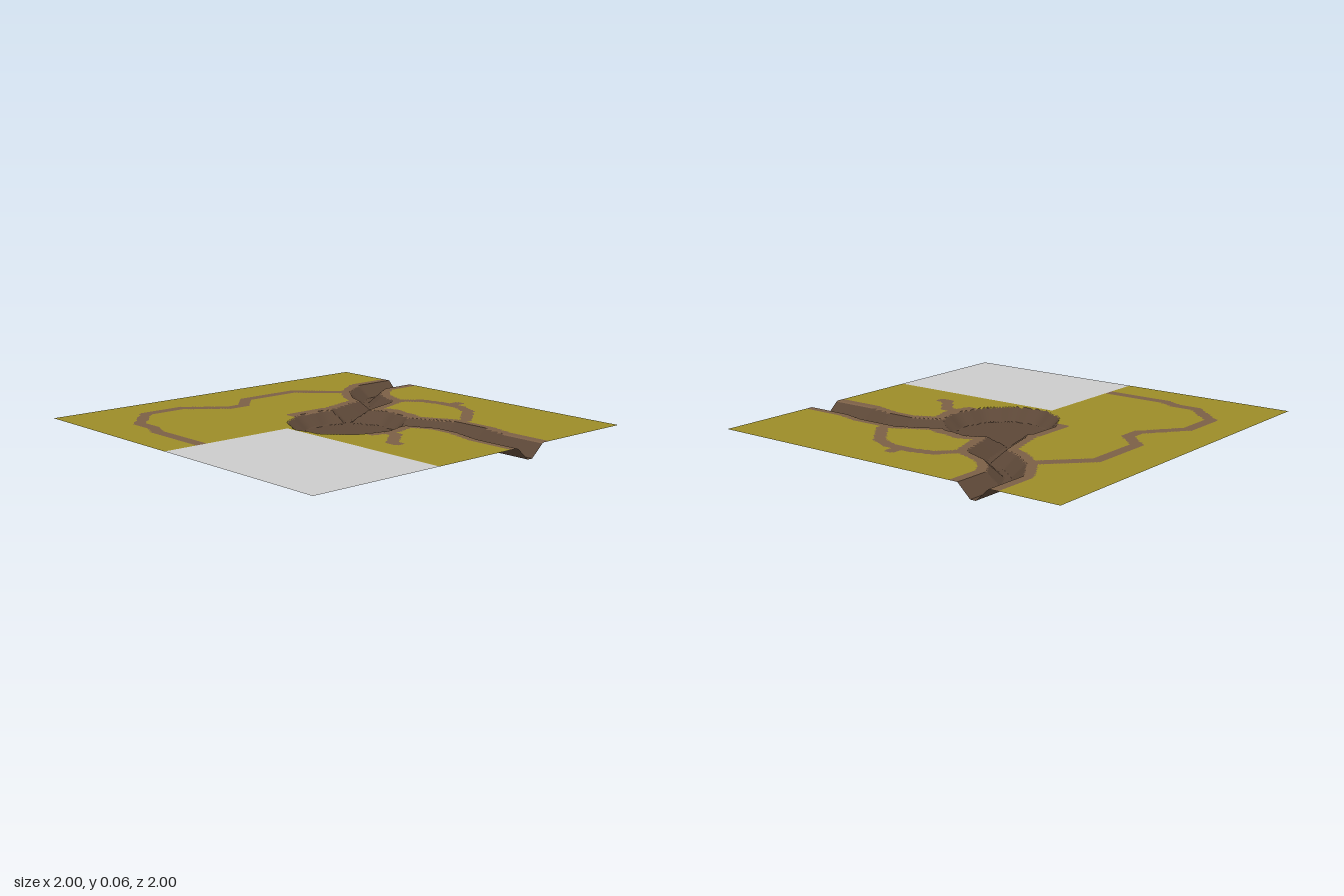
import * as THREE from 'three';

const H = 0.065;      // ground level above the channel floor
const N = 200;        // cells per side
const STEP = 2 / N;
const PLOT = { x: -0.03, z: 0.27 };

// Centre lines as [x, z] points
const NORTH_RIVER = [[-0.545, -1.1], [-0.545, -0.78], [-0.46, -0.65], [-0.36, -0.575], [-0.24, -0.53],
  [-0.2, -0.4], [-0.16, -0.25], [-0.05, -0.15]];
const EAST_RIVER = [[1.1, -0.335], [0.75, -0.335], [0.6, -0.37], [0.42, -0.37], [0.25, -0.28], [0.15, -0.2]];
const PATHS = [
  [[-0.52, -0.58], [-0.74, -0.36], [-0.74, -0.03], [-0.62, 0.08], [-0.62, 0.17], [-0.78, 0.37],
    [-0.78, 0.59], [-0.6, 0.75], [-0.48, 0.75], [-0.39, 0.79], [0, 0.79]],
  [[-0.16, -0.62], [-0.08, -0.71], [0.03, -0.74], [0.17, -0.74], [0.28, -0.69], [0.42, -0.52], [0.42, -0.45]],
  [[0.1, -0.74], [0.1, -0.8]],
  [[0.36, -0.03], [0.42, -0.03], [0.53, 0.1], [0.56, 0.1]],
];

// Shortest distance from a point to a polyline
function distanceTo(line, x, z) {
  let best = Infinity;
  for (let i = 0; i + 1 < line.length; i++) {
    const [ax, az] = line[i], [bx, bz] = line[i + 1];
    const dx = bx - ax, dz = bz - az;
    const t = THREE.MathUtils.clamp(((x - ax) * dx + (z - az) * dz) / (dx * dx + dz * dz), 0, 1);
    best = Math.min(best, Math.hypot(x - ax - t * dx, z - az - t * dz));
  }
  return best;
}

// 1 on the lake rim, with a slightly lobed outline
function lakeRadius(x, z) {
  const u = (x - 0.045) / 0.285, v = (z + 0.065) / 0.315;
  return Math.hypot(u, v) / (1 + 0.02 * Math.cos(11 * Math.atan2(v, u)));
}

// How far the ground is carved: 0 at ground level, 1 on the floor
function carve(x, z) {
  const north = (0.085 - distanceTo(NORTH_RIVER, x, z)) / 0.07;
  const east = (0.09 - distanceTo(EAST_RIVER, x, z)) / 0.075;
  const lake = (1 - lakeRadius(x, z)) / 0.22;
  return THREE.MathUtils.clamp(Math.max(north, east, lake), 0, 1);
}

// Which surface a ground cell belongs to
function surfaceAt(x, z) {
  if (carve(x, z) > 0.03) return 'riverAndLakeBed';
  const bank = Math.min(distanceTo(NORTH_RIVER, x, z), distanceTo(EAST_RIVER, x, z)) < 0.133
    || (lakeRadius(x, z) < 1.2 && z < 0.07);
  if (bank) return 'banks';
  return PATHS.some((p) => distanceTo(p, x, z) < 0.03) ? 'footpaths' : 'grass';
}

function material(color) {
  return new THREE.MeshStandardMaterial({ color, side: THREE.DoubleSide, flatShading: true });
}

export function createModel() {
  const group = new THREE.Group();
  group.name = 'landscape';

  // Ground heights on a regular grid
  const heights = [];
  for (let j = 0; j <= N; j++) {
    for (let i = 0; i <= N; i++) heights.push(H * (1 - carve(-1 + i * STEP, -1 + j * STEP)));
  }

  // Sort the cells into one triangle list per surface
  const cells = { grass: [], footpaths: [], banks: [], riverAndLakeBed: [] };
  const corner = (i, j) => [-1 + i * STEP, heights[j * (N + 1) + i], -1 + j * STEP];
  for (let j = 0; j < N; j++) {
    for (let i = 0; i < N; i++) {
      const x = -1 + (i + 0.5) * STEP, z = -1 + (j + 0.5) * STEP;
      if (x > PLOT.x && z > PLOT.z) continue;
      const a = corner(i, j), b = corner(i, j + 1), c = corner(i + 1, j + 1), d = corner(i + 1, j);
      cells[surfaceAt(x, z)].push(...a, ...b, ...c, ...a, ...c, ...d);
    }
  }

  const colors = { grass: 0x9b8c28, footpaths: 0x7b5f46, banks: 0x7b5f46, riverAndLakeBed: 0x5c4737 };
  for (const name of Object.keys(cells)) {
    const geometry = new THREE.BufferGeometry();
    geometry.setAttribute('position', new THREE.Float32BufferAttribute(cells[name], 3));
    geometry.computeVertexNormals();
    const mesh = new THREE.Mesh(geometry, material(colors[name]));
    mesh.name = name;
    group.add(mesh);
  }

  // Bare plot in the front corner
  const width = 1 - PLOT.x, depth = 1 - PLOT.z;
  const plot = new THREE.Mesh(new THREE.PlaneGeometry(width, depth).rotateX(-Math.PI / 2), material(0xcccccc));
  plot.position.set(PLOT.x + width / 2, H, PLOT.z + depth / 2);
  plot.name = 'plot';
  group.add(plot);

  return group;
}
